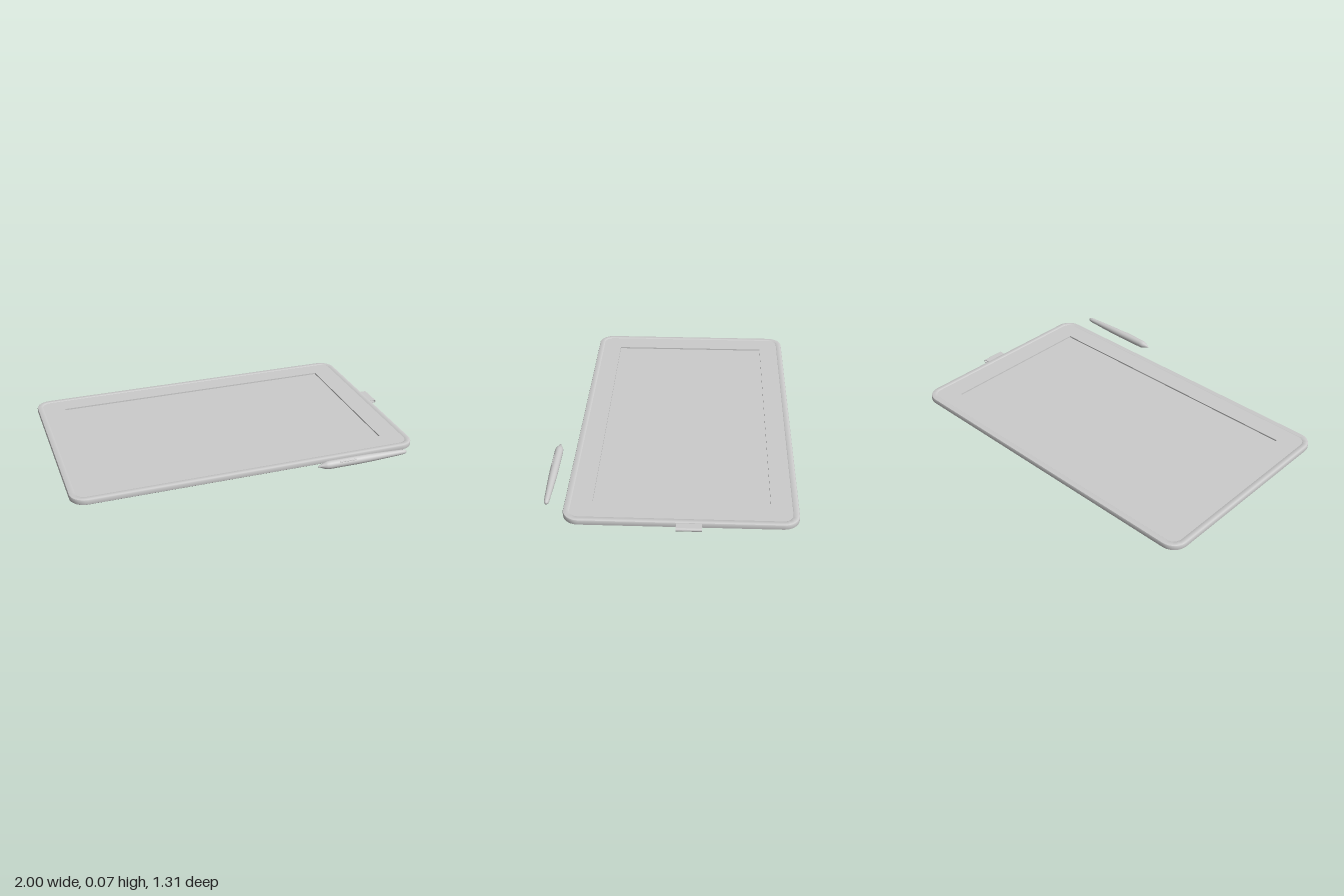
import * as THREE from 'three';
import { toCreasedNormals } from 'three/addons/utils/BufferGeometryUtils.js';

const WIDTH = 1.957, DEPTH = 1.202, CORNER = 0.085;
const BODY_X = -0.0215, BODY_Z = -0.056;
const BEZEL_Y = 0.031, SCREEN_Y = 0.023, RIM = 0.033;

const material = new THREE.MeshStandardMaterial({ color: 0xcccccc });
const openMaterial = new THREE.MeshStandardMaterial({ color: 0xcccccc, side: THREE.DoubleSide });

function addMesh(parent, name, geometry, mat = material) {
  const mesh = new THREE.Mesh(geometry, mat);
  mesh.name = name;
  parent.add(mesh);
  return mesh;
}

// Outline of the tablet, pulled in by an inset
function outline(inset, steps = 10) {
  const r = CORNER - inset, cx = WIDTH / 2 - CORNER, cy = DEPTH / 2 - CORNER;
  const points = [];
  [[1, 1], [-1, 1], [-1, -1], [1, -1]].forEach(([sx, sy], k) => {
    for (let i = 0; i <= steps; i++) {
      const a = (k + i / steps) * Math.PI / 2;
      points.push(new THREE.Vector2(sx * cx + r * Math.cos(a), sy * cy + r * Math.sin(a)));
    }
  });
  return points;
}

// Skin over a stack of outlines given as [inset, height]
function loft(levels) {
  const rings = levels.map(([inset, y]) => outline(inset).map(p => new THREE.Vector3(p.x, y, -p.y)));
  const n = rings[0].length, positions = [];
  for (let i = 0; i < rings.length - 1; i++) {
    for (let j = 0; j < n; j++) {
      const k = (j + 1) % n;
      const a = rings[i][j], b = rings[i][k], c = rings[i + 1][k], d = rings[i + 1][j];
      for (const p of [a, b, c, a, c, d]) positions.push(p.x, p.y, p.z);
    }
  }
  const geometry = new THREE.BufferGeometry();
  geometry.setAttribute('position', new THREE.Float32BufferAttribute(positions, 3));
  return toCreasedNormals(geometry, 0.6);
}

function createTablet() {
  const tablet = new THREE.Group();
  tablet.name = 'tablet';
  tablet.position.set(BODY_X, 0, BODY_Z);

  // Side wall, raised rim and the small step down to the bezel
  addMesh(tablet, 'casing', loft([
    [0.006, 0], [0.001, 0.004], [0, 0.009], [0, 0.027], [0.002, 0.031],
    [0.006, 0.033], [RIM - 0.003, 0.033], [RIM, BEZEL_Y],
  ]));

  const back = new THREE.ShapeGeometry(new THREE.Shape(outline(0.006)));
  addMesh(tablet, 'backCover', back.rotateX(Math.PI / 2));

  // Bezel with the screen opening cut out
  const bezel = new THREE.Shape(outline(RIM));
  const w = 0.823, h = 0.458;
  bezel.holes.push(new THREE.Path([
    new THREE.Vector2(-w, -h), new THREE.Vector2(-w, h),
    new THREE.Vector2(w, h), new THREE.Vector2(w, -h),
  ]));
  const bezelGeometry = new THREE.ExtrudeGeometry(bezel, { depth: BEZEL_Y - SCREEN_Y, bevelEnabled: false });
  addMesh(tablet, 'bezel', bezelGeometry.rotateX(-Math.PI / 2)).position.y = SCREEN_Y;

  const screen = new THREE.PlaneGeometry(2 * w, 2 * h).rotateX(-Math.PI / 2);
  addMesh(tablet, 'screen', screen).position.y = SCREEN_Y;
  return tablet;
}

// Flat fabric loop on the side, open at both ends
function createPenLoop() {
  const arch = (shape, x0, x1, r) => shape.moveTo(x0, -r).lineTo(x1 - r, -r)
    .absarc(x1 - r, 0, r, -Math.PI / 2, Math.PI / 2, false).lineTo(x0, r).closePath();
  const strap = arch(new THREE.Shape(), 0.945, 1, 0.01);
  strap.holes.push(arch(new THREE.Path(), 0.946, 0.997, 0.007));
  const geometry = new THREE.ExtrudeGeometry(strap, { depth: 0.131, bevelEnabled: false, curveSegments: 10 });
  return toCreasedNormals(geometry, 0.6).translate(0, 0.018, -0.165);
}

function createPen() {
  const pen = new THREE.Group();
  pen.name = 'pen';
  pen.position.set(0.315, 0.045, 0.634);

  // Radius and distance from the tip
  const profile = [
    [0, 0], [0.003, 0.001], [0.005, 0.008], [0.019, 0.042], [0.022, 0.053], [0.023, 0.07],
    [0.023, 0.24], [0.022, 0.3], [0.0185, 0.4], [0.014, 0.505], [0.012, 0.52], [0.008, 0.528], [0, 0.53],
  ].map(([r, d]) => new THREE.Vector2(r, d));
  addMesh(pen, 'penBarrel', new THREE.LatheGeometry(profile, 24).rotateZ(-Math.PI / 2));

  // Slim side button, mostly sunk into the barrel
  const button = addMesh(pen, 'penButton', new THREE.CapsuleGeometry(0.005, 0.09, 4, 10).rotateZ(Math.PI / 2));
  button.position.set(0.17, 0.0142, 0.0142);
  return pen;
}

export function createModel() {
  const model = new THREE.Group();
  model.name = 'penTablet';
  model.add(createTablet(), createPen());
  addMesh(model, 'penLoop', createPenLoop(), openMaterial);
  return model;
}
